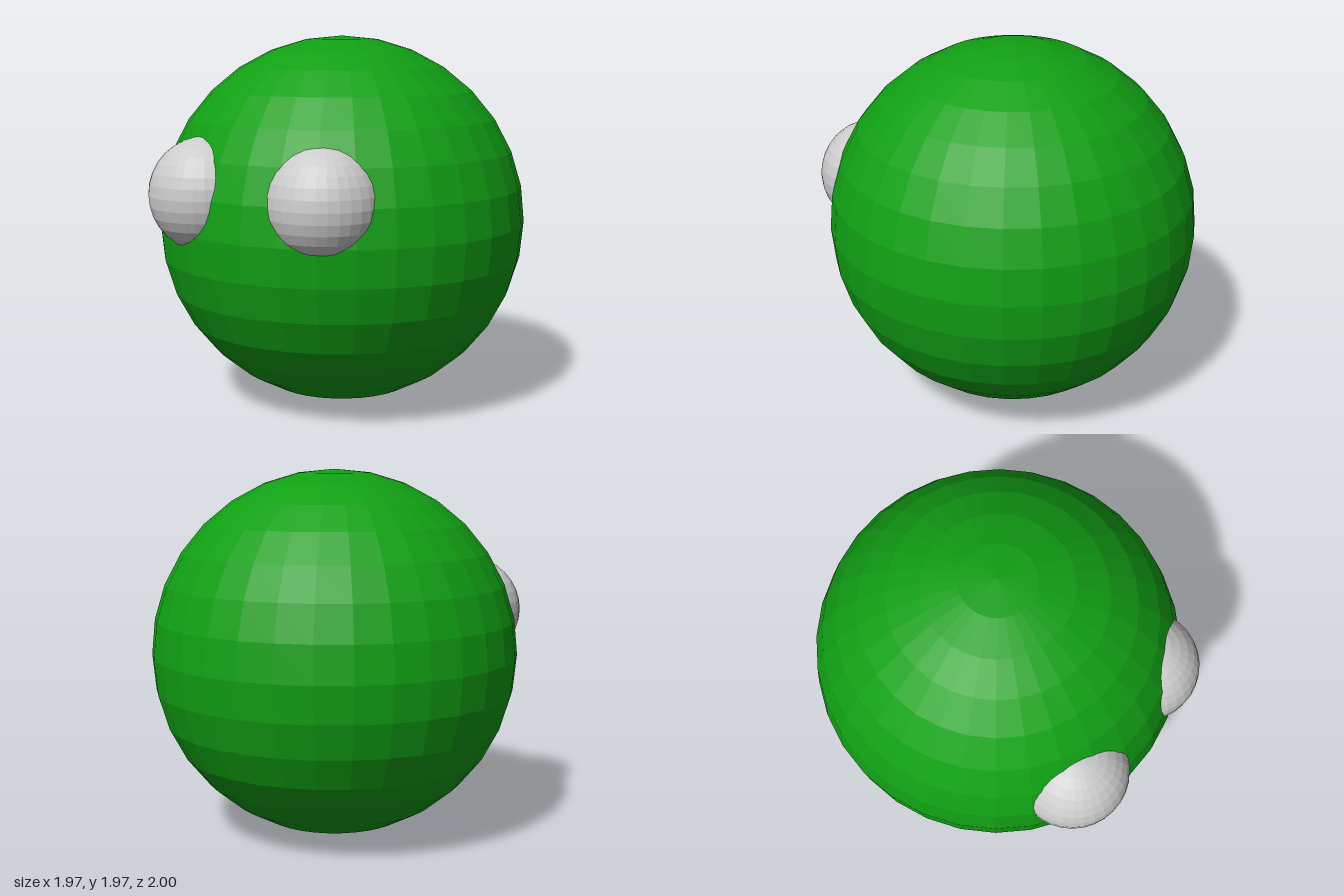
import * as THREE from 'three';

export function createModel() {
  const group = new THREE.Group();
  const green = new THREE.MeshStandardMaterial({ color: 0x11a014, flatShading: true });
  const grey = new THREE.MeshStandardMaterial({ color: 0xcccccc, flatShading: true });

  // Faceted ball, shared by the body and the eyes
  function addBall(name, radius, position, material) {
    const mesh = new THREE.Mesh(new THREE.SphereGeometry(radius, 32, 16), material);
    mesh.name = name;
    mesh.position.set(...position);
    group.add(mesh);
  }

  // Round body
  addBall('body', 0.983, [0, 0.983, -0.017], green);

  // Eyes, sunk into the front of the body and slightly uneven
  addBall('leftEye', 0.292, [0.31, 1.17, 0.7], grey);
  addBall('rightEye', 0.295, [-0.38, 1.175, 0.702], grey);

  return group;
}
